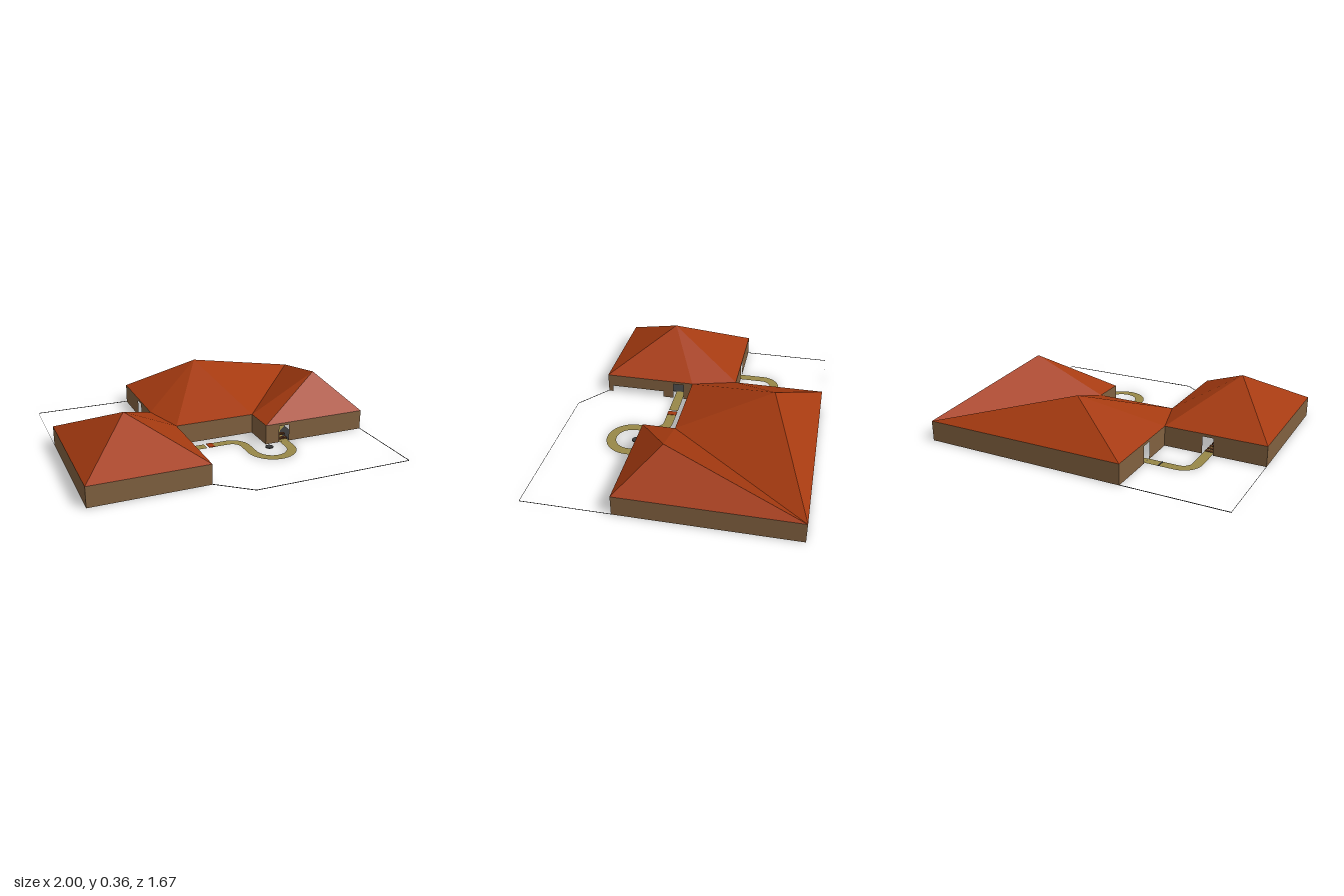
import * as THREE from 'three';

const GROUND = 0.058, EAVE = 0.19, PEAK = 0.422, PATH_W = 0.062;

const mat = (name, color) => {
  const m = new THREE.MeshStandardMaterial({ color, side: THREE.DoubleSide });
  m.name = name;
  return m;
};

export function createModel() {
  const group = new THREE.Group();
  group.name = 'house';
  const roofMat = mat('terracotta', 0xa53a10);
  const wallMat = mat('brown wall', 0x80603f);
  const pathMat = mat('olive path', 0x988848);
  const darkMat = mat('dark grey', 0x383838);
  const stepMat = mat('dark brown', 0x55301a);

  const add = (name, geometry, material, x = 0, y = 0, z = 0) => {
    const mesh = new THREE.Mesh(geometry, material);
    mesh.name = name;
    mesh.position.set(x, y, z);
    group.add(mesh);
    return mesh;
  };

  // Roof: each peak fans out to its ring of eave corners (x, z)
  const fan = (name, [px, pz], ring) => {
    const v = [];
    ring.forEach(([x, z], i) => {
      const [nx, nz] = ring[(i + 1) % ring.length];
      v.push(px, PEAK, pz, x, EAVE, z, nx, EAVE, nz);
    });
    const g = new THREE.BufferGeometry();
    g.setAttribute('position', new THREE.Float32BufferAttribute(v, 3));
    g.computeVertexNormals();
    add(name, g, roofMat);
  };
  const backLeft = [-0.34, -0.834], backRight = [1, -0.834];
  const wingR = [1, 0.274], wingL = [0.283, 0.274], inner = [0.283, 0.06];
  const linkF = [-0.257, 0.06], linkB = [-0.34, -0.235];
  const annexBL = [-1, -0.235], annexFL = [-1, 0.672], annexFR = [-0.257, 0.672];
  fan('mainRoof', [0.096, -0.545], [backRight, backLeft, linkB, linkF, inner]);
  fan('wingRoof', [0.76, 0.016], [backRight, inner, wingL, wingR]);
  fan('annexRoof', [-0.66, 0.262], [linkB, annexBL, annexFL, annexFR, linkF]);

  // Walls: upright sheets with doorways given as [from, to, height] along the wall
  const wall = (name, a, b, doors = []) => {
    const dx = b[0] - a[0], dz = b[1] - a[1], len = Math.hypot(dx, dz), h = EAVE - GROUND;
    const s = new THREE.Shape();
    s.moveTo(0, 0);
    doors.forEach(([from, to, top]) => {
      s.lineTo(from, 0);
      s.lineTo(from, top);
      s.lineTo(to, top);
      s.lineTo(to, 0);
    });
    s.lineTo(len, 0);
    s.lineTo(len, h);
    s.lineTo(0, h);
    s.closePath();
    add(name, new THREE.ShapeGeometry(s), wallMat, a[0], GROUND, a[1]).rotation.y = Math.atan2(-dz, dx);
  };
  const door = (centre) => [centre - 0.036, centre + 0.036, 0.114];
  wall('backWall', backRight, backLeft);
  wall('mainSideWall', backLeft, linkB, [door(0.345)]);
  wall('courtyardWall', linkF, inner);
  wall('wingSideWall', inner, wingL);
  wall('wingFrontWall', wingL, wingR, [door(0.132)]);
  wall('rightWall', wingR, backRight);
  wall('annexBackWall', linkB, annexBL, [door(0.288)]);
  wall('annexLeftWall', annexBL, annexFL);
  wall('annexFrontWall', annexFL, annexFR);
  wall('annexRightWall', linkF, annexFR, [door(0.1), [0.21, 0.58, 0.045]]);

  // Path: a flat ribbon along points in x and z
  const ribbon = (name, raw) => {
    const pts = raw.filter((p, i) => i === 0 || p.distanceTo(raw[i - 1]) > 1e-4);
    const v = [], idx = [];
    pts.forEach((p, i) => {
      const t = pts[Math.min(i + 1, pts.length - 1)].clone().sub(pts[Math.max(i - 1, 0)]).normalize();
      for (const s of [-0.5, 0.5]) v.push(p.x - t.y * s * PATH_W, GROUND + 0.003, p.y + t.x * s * PATH_W);
      if (i) idx.push(2 * i - 2, 2 * i - 1, 2 * i, 2 * i - 1, 2 * i + 1, 2 * i);
    });
    const g = new THREE.BufferGeometry();
    g.setAttribute('position', new THREE.Float32BufferAttribute(v, 3));
    g.setIndex(idx);
    g.computeVertexNormals();
    add(name, g, pathMat);
  };
  ribbon('annexPath', new THREE.Path().moveTo(-0.34, 0.16).lineTo(-0.095, 0.16).getPoints());
  ribbon('courtyardPath', new THREE.Path().moveTo(-0.04, 0.16).lineTo(0.057, 0.16)
    .absarc(0.057, 0.252, 0.092, -Math.PI / 2, 0, false).lineTo(0.149, 0.353)
    .absarc(0.282, 0.353, 0.133, Math.PI, 0, true).lineTo(0.415, 0.274).getPoints(16));
  ribbon('backPath', new THREE.Path().moveTo(-0.34, -0.487).lineTo(-0.535, -0.487)
    .absarc(-0.535, -0.394, 0.093, -Math.PI / 2, -Math.PI, true).lineTo(-0.628, -0.1).getPoints(16));
  const indoor = [[0.415, 0.274], [0.43, 0.12], [0.55, 0], [0.72, -0.1], [0.8, -0.26], [0.74, -0.385],
    [0.58, -0.36], [0.48, -0.25], [0.29, -0.24], [0.1, -0.18], [-0.07, -0.24], [-0.1, -0.42],
    [-0.2, -0.485], [-0.34, -0.487]].map(([x, z]) => new THREE.Vector2(x, z));
  ribbon('indoorPath', new THREE.SplineCurve(indoor).getPoints(90));

  // Small pieces on the path
  add('ramp', new THREE.BoxGeometry(0.04, 0.004, PATH_W), roofMat, -0.06, GROUND + 0.004, 0.16);
  add('backSeam', new THREE.BoxGeometry(0.008, 0.004, PATH_W), darkMat, -0.43, GROUND + 0.004, -0.487);
  add('courtyardDisc', new THREE.CylinderGeometry(0.026, 0.026, 0.006, 20), darkMat, 0.285, GROUND + 0.003, 0.323);
  for (let i = 0; i < 4; i++) {
    add('annexStep', new THREE.BoxGeometry(PATH_W, 0.006, 0.025), stepMat, -0.628, GROUND + 0.003, -0.19 + i * 0.04);
  }
  for (let i = 0; i < 2; i++) {
    add('wingStep', new THREE.BoxGeometry(0.07, 0.01, 0.025), stepMat, 0.415, 0.07 + i * 0.016, 0.24 - i * 0.03);
  }

  // Floor sheets
  const floor = (name, w, d, x, z, turn = 0) => {
    add(name, new THREE.BoxGeometry(w, 0.002, d), darkMat, x, GROUND + 0.001, z).rotation.y = turn;
  };
  floor('annexFloor', 0.59, 0.56, -0.635, 0.38);
  floor('mainFloor', 0.48, 0.36, 0.68, -0.36, -0.49);
  floor('wingFloor', 0.24, 0.27, 0.42, 0.135);

  // Indoor drum and spikes
  add('drum', new THREE.CylinderGeometry(0.13, 0.13, 0.1, 24, 1, true, Math.PI * 0.5, Math.PI), darkMat, 0.09, GROUND + 0.05, -0.34);
  for (let i = 0; i < 3; i++) {
    add('spike', new THREE.ConeGeometry(0.025, 0.07, 4), darkMat, -0.1 - i * 0.05, GROUND + 0.038, -0.42 - i * 0.025);
  }

  // Low boundary strips around the open corners of the plot
  const strip = (a, b) => {
    const dx = b[0] - a[0], dz = b[1] - a[1];
    add('boundary', new THREE.PlaneGeometry(Math.hypot(dx, dz), 0.005), darkMat,
      (a[0] + b[0]) / 2, GROUND + 0.0025, (a[1] + b[1]) / 2).rotation.y = Math.atan2(-dz, dx);
  };
  strip(wingR, [1, 0.834]);
  strip([1, 0.834], [-0.05, 0.834]);
  strip([-0.05, 0.834], annexFR);
  strip(backLeft, [-1, -0.834]);
  strip([-1, -0.834], annexBL);

  return group;
}
